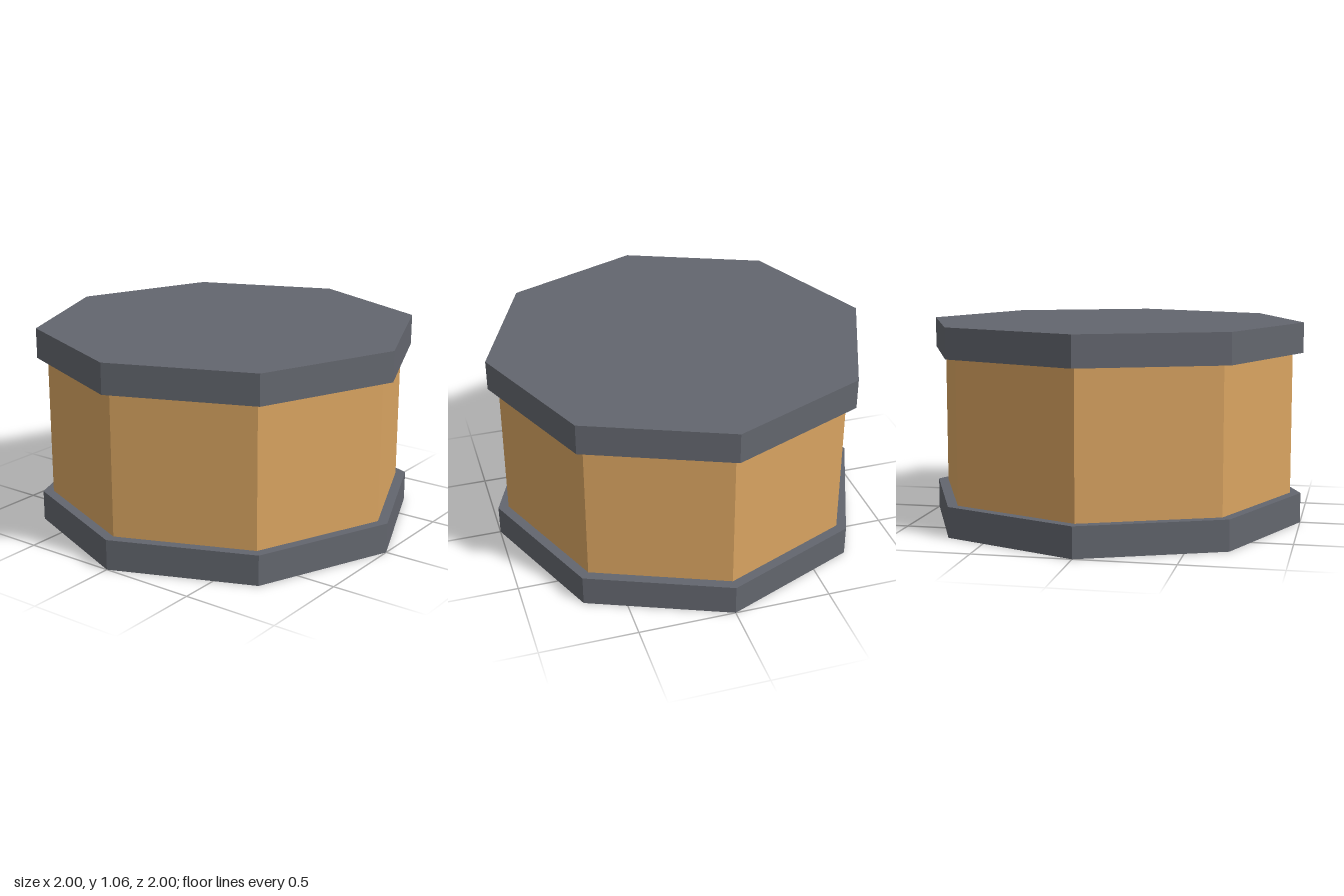
import * as THREE from 'three';

const SIDES = 8;

export function createModel() {
  const model = new THREE.Group();
  model.name = 'octagonalDrum';

  const wood = new THREE.MeshStandardMaterial({ color: 0xd9a461, flatShading: true });
  wood.name = 'warm wood';
  const metal = new THREE.MeshStandardMaterial({ color: 0x63666e, flatShading: true });
  metal.name = 'slate grey';

  // Eight-sided prism between two heights, with a corner facing the front
  function prism(name, radius, bottom, top, material, openEnded = false) {
    const geometry = new THREE.CylinderGeometry(radius, radius, top - bottom, SIDES, 1, openEnded);
    const mesh = new THREE.Mesh(geometry, material);
    mesh.name = name;
    mesh.position.y = (bottom + top) / 2;
    model.add(mesh);
  }

  prism('bottomPlate', 1, 0, 0.158, metal);
  prism('body', 0.945, 0.158, 0.899, wood, true); // ends hidden by the plates
  prism('topPlate', 1, 0.899, 1.057, metal);

  return model;
}
